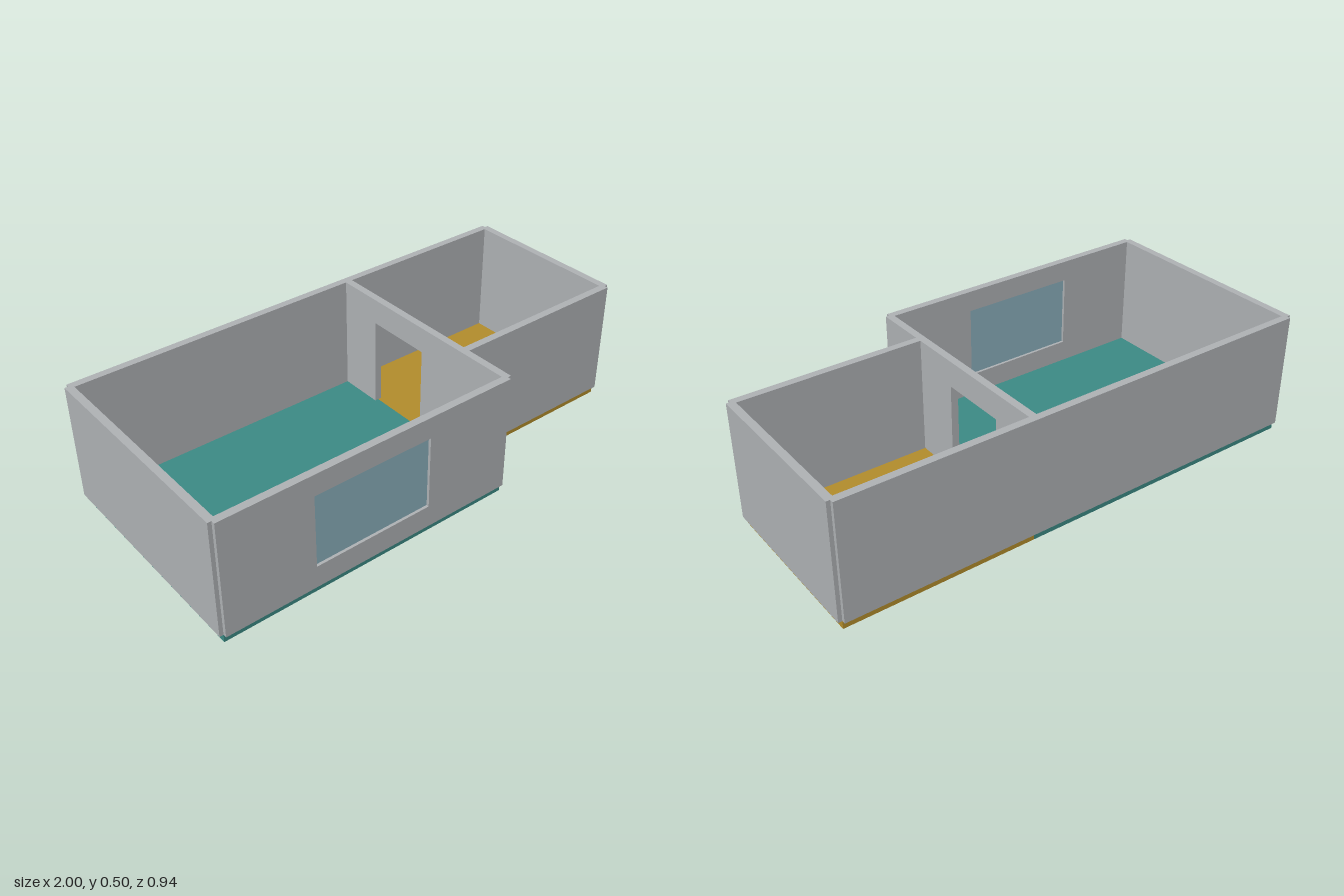
import * as THREE from 'three';

const T = 0.03;                       // wall thickness
const BASE = 0.033, TOP = 0.503;      // floor surface and wall top
const X0 = -0.985, XM = 0.226, X1 = 0.985;   // wall centre lines
const ZB = -0.455, ZM = 0.228, ZF = 0.455;

const mat = (name, color) => {
  const m = new THREE.MeshStandardMaterial({ color });
  m.name = name;
  return m;
};

export function createModel() {
  const group = new THREE.Group();
  const wallGrey = mat('wall grey', 0xafb2b5);
  const teal = mat('teal floor', 0x3c8b85);
  const gold = mat('gold floor', 0xb38d2c);
  const glass = mat('window glass', 0x8bafbc);

  const add = (name, geometry, material) => {
    const mesh = new THREE.Mesh(geometry, material);
    mesh.name = name;
    group.add(mesh);
    return mesh;
  };

  // Floor slab between wall centre lines
  const slab = (name, xa, xb, za, zb, material) =>
    add(name, new THREE.BoxGeometry(xb - xa, BASE, zb - za), material)
      .position.set((xa + xb) / 2, BASE / 2, (za + zb) / 2);

  // Wall running from a to b along x or z; may have a window hole or a doorway [from, to, bottom, top]
  const wall = (name, axis, a, b, at, { window: w, door: d } = {}) => {
    const s = new THREE.Shape();
    s.moveTo(a, BASE);
    if (d) {
      s.lineTo(d[0], BASE);
      s.lineTo(d[0], d[3]);
      s.lineTo(d[1], d[3]);
      s.lineTo(d[1], BASE);
    }
    s.lineTo(b, BASE);
    s.lineTo(b, TOP);
    s.lineTo(a, TOP);
    s.closePath();
    if (w) {
      const h = new THREE.Path();
      h.moveTo(w[0], w[2]);
      h.lineTo(w[0], w[3]);
      h.lineTo(w[1], w[3]);
      h.lineTo(w[1], w[2]);
      h.closePath();
      s.holes.push(h);
    }
    const g = new THREE.ExtrudeGeometry(s, { depth: T, bevelEnabled: false });
    g.translate(0, 0, -T / 2);
    if (axis === 'z') g.rotateY(-Math.PI / 2).translate(at, 0, 0);
    else g.translate(0, 0, at);
    add(name, g, wallGrey);
  };

  slab('largeRoomFloor', X0, XM, ZB, ZF, teal);
  slab('smallRoomFloor', XM, X1, ZB, ZM, gold);

  const win = [-0.625, -0.14, 0.123, 0.418];
  wall('backWall', 'x', X0, X1, ZB);
  wall('largeRoomFrontWall', 'x', X0, XM, ZF, { window: win });
  wall('smallRoomFrontWall', 'x', XM, X1, ZM);
  wall('rightWall', 'z', ZB, ZF, X0);
  wall('leftWall', 'z', ZB, ZM, X1);
  wall('dividingWall', 'z', ZB, ZF, XM, { door: [-0.256, 0.02, BASE, 0.4] });

  // Pane set in the middle of the window opening
  add('windowPane', new THREE.BoxGeometry(win[1] - win[0], win[3] - win[2], 0.008), glass)
    .position.set((win[0] + win[1]) / 2, (win[2] + win[3]) / 2, ZF);

  return group;
}
